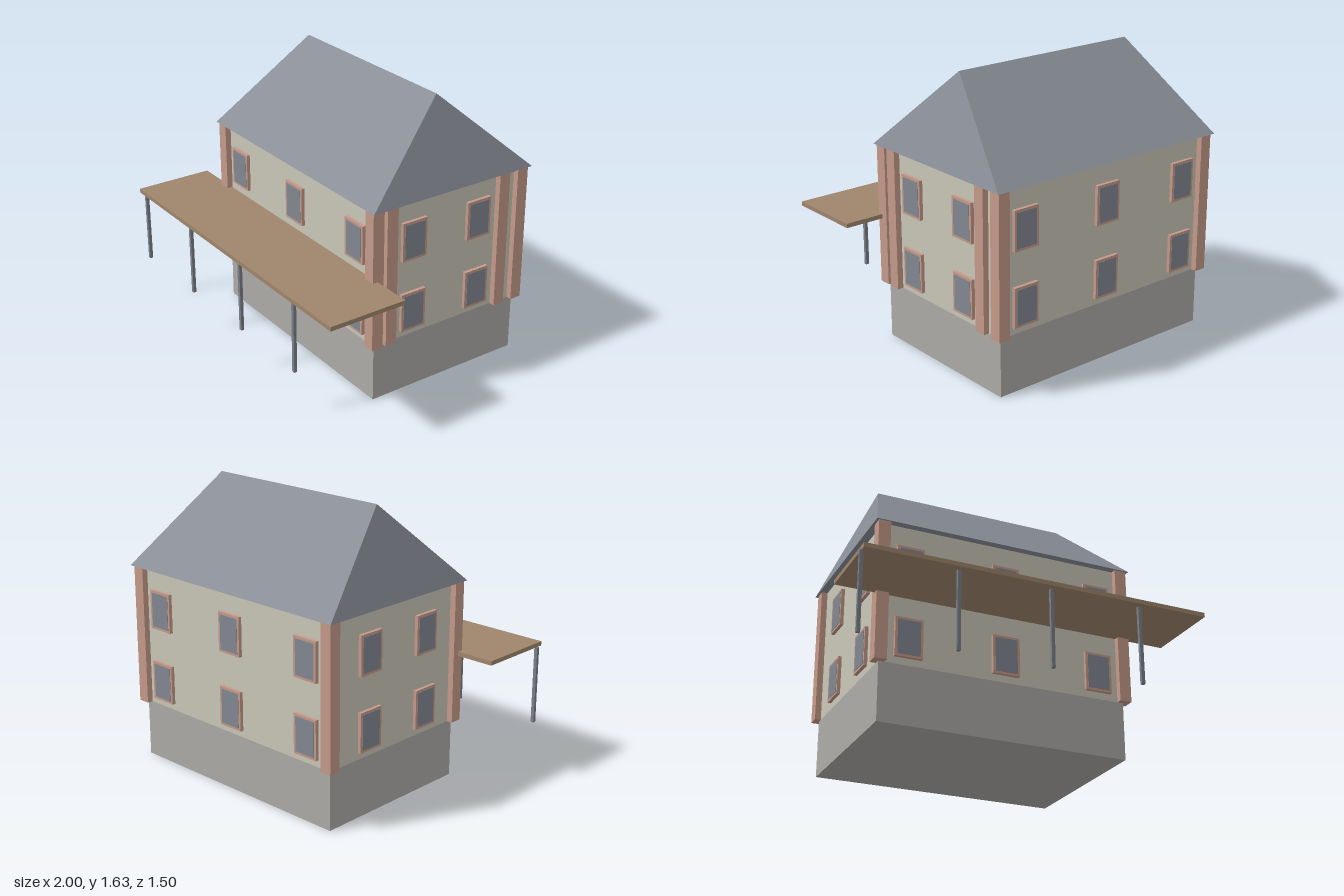
import * as THREE from 'three';

function material(name, color) {
  const m = new THREE.MeshStandardMaterial({ color });
  m.name = name;
  return m;
}

// Box given by its min and max along each axis
function box(name, mat, [x0, x1], [y0, y1], [z0, z1]) {
  const mesh = new THREE.Mesh(new THREE.BoxGeometry(x1 - x0, y1 - y0, z1 - z0), mat);
  mesh.position.set((x0 + x1) / 2, (y0 + y1) / 2, (z0 + z1) / 2);
  mesh.name = name;
  return mesh;
}

// Hipped roof: four eave corners, two ridge ends, closed underneath
function roofGeometry(x0, x1, z0, z1, eave, r0, r1, rz, top) {
  const a = [x0, eave, z1], b = [x1, eave, z1], c = [x1, eave, z0], d = [x0, eave, z0];
  const l = [r0, top, rz], r = [r1, top, rz];
  const faces = [a, b, r, a, r, l, c, d, l, c, l, r, b, c, r, d, a, l, a, d, c, a, c, b];
  const g = new THREE.BufferGeometry();
  g.setAttribute('position', new THREE.Float32BufferAttribute(faces.flat(), 3));
  g.computeVertexNormals();
  return g;
}

export function createModel() {
  const house = new THREE.Group();
  house.name = 'house';
  const plaster = material('cream plaster', 0xcac7b8);
  const stone = material('grey stone', 0xacaba7);
  const brick = material('pink brick', 0xc59a8a);
  const slate = material('blue grey slate', 0x8a8f98);
  const glass = material('window glass', 0x828791);
  const wood = material('deck wood', 0xa0866c);
  const steel = material('post steel', 0x7b8089);

  const X = [-0.728, 0.731], Z = [-0.702, 0.282];
  const baseTop = 0.335, eave = 1.15;

  // Body
  house.add(box('foundation', stone, X, [0, baseTop], Z));
  house.add(box('walls', plaster, X, [baseTop, eave], Z));
  const roof = new THREE.Mesh(
    roofGeometry(-0.777, 0.781, -0.752, 0.327, eave, -0.59, 0.596, -0.211, 1.635), slate);
  roof.name = 'roof';
  house.add(roof);

  // Corner pillars, plus two more on the left side wall
  const pillars = [];
  for (const x of X) for (const z of Z) pillars.push([x, z]);
  pillars.push([X[1], 0.191], [X[1], -0.574]);
  for (const [x, z] of pillars) {
    house.add(box('pillar', brick, [x - 0.035, x + 0.035], [baseTop, eave], [z - 0.035, z + 0.035]));
  }

  // Windows: raised frame with a thin pane, facing +z before turning
  function addWindow(x, y, z, turn) {
    const w = new THREE.Group();
    w.name = 'window';
    w.add(box('windowFrame', brick, [-0.08, 0.08], [-0.113, 0.113], [-0.01, 0.02]));
    w.add(box('windowPane', glass, [-0.066, 0.066], [-0.099, 0.099], [0.017, 0.022]));
    w.position.set(x, y, z);
    w.rotation.y = turn;
    house.add(w);
  }
  for (const y of [0.488, 0.913]) {
    for (const x of [-0.566, 0.002, 0.571]) {
      addWindow(x, y, Z[1], 0);
      addWindow(x, y, Z[0], Math.PI);
    }
    for (const z of [0.03, -0.412]) {
      addWindow(X[1], y, z, Math.PI / 2);
      addWindow(X[0], y, z, -Math.PI / 2);
    }
  }

  // Deck on posts
  house.add(box('deck', wood, [-0.99, 1], [0.721, 0.746], [0.286, 0.75]));
  for (let i = 0; i < 4; i++) {
    const x = -0.99 + i * 0.532;
    house.add(box('deckPost', steel, [x - 0.01, x + 0.01], [0.27, 0.721], [0.698, 0.716]));
  }
  return house;
}
